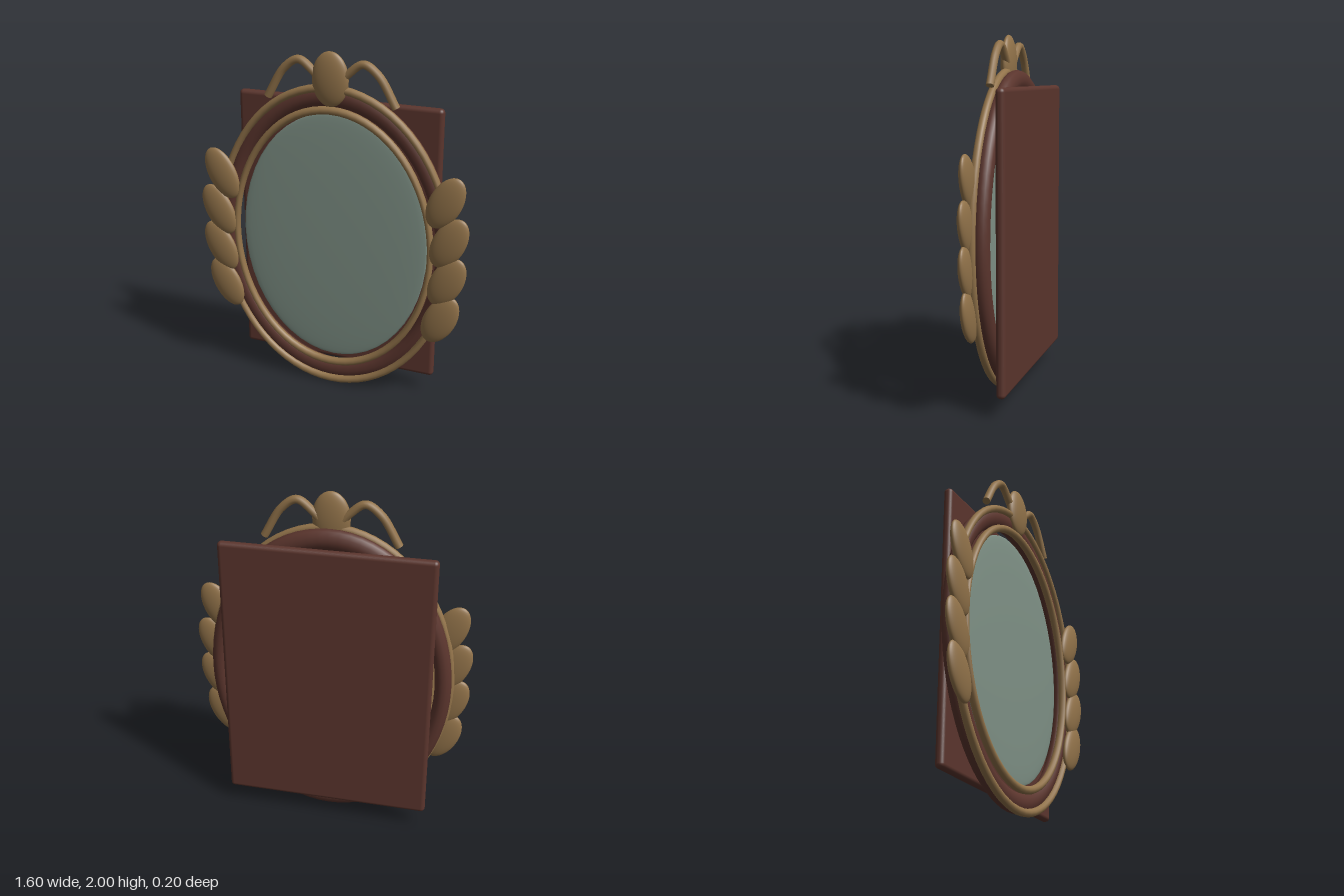
import * as THREE from 'three';
import { RoundedBoxGeometry } from 'three/addons/geometries/RoundedBoxGeometry.js';

const CENTER_Y = 0.913;

function material(name, color) {
  const m = new THREE.MeshStandardMaterial({ color });
  m.name = name;
  return m;
}

export function createModel() {
  const group = new THREE.Group();
  group.name = 'ovalMirror';
  const gold = material('antique gold', 0x92734a);
  const wood = material('dark wood', 0x5b352d);
  const glass = material('mirror glass', 0x7f9186);

  const add = (name, geometry, mat, x, y, z) => {
    const mesh = new THREE.Mesh(geometry, mat);
    mesh.name = name;
    mesh.position.set(x, y, z);
    group.add(mesh);
    return mesh;
  };
  // Torus squeezed into an upright oval
  const ovalRing = (name, mat, radius, tube, z, sx, sz, sides) =>
    add(name, new THREE.TorusGeometry(radius, tube, sides, 72), mat, 0, CENTER_Y, z).scale.set(sx, 1, sz);
  const ellipsoid = (name, mat, x, y, z, a, b, c) => {
    const mesh = add(name, new THREE.SphereGeometry(1, 32, 24), mat, x, y, z);
    mesh.scale.set(a, b, c);
    return mesh;
  };

  // Backing board
  add('backBoard', new RoundedBoxGeometry(1.2, 1.61, 0.052, 4, 0.024), wood, 0, 0.913, -0.08);

  // Frame, beads and slightly domed glass
  ovalRing('woodFrame', wood, 0.835, 0.06, 0, 0.78, 0.76, 12);
  ovalRing('outerBead', gold, 0.888, 0.023, 0.04, 0.78, 1, 12);
  ovalRing('innerBead', gold, 0.767, 0.023, 0.047, 0.765, 1, 12);
  ellipsoid('mirrorGlass', glass, 0, CENTER_Y, 0.005, 0.558, 0.74, 0.02);

  // Crest medallion
  ellipsoid('crestMedallion', gold, 0, 1.85, 0.046, 0.105, 0.15, 0.037);

  // Curling sprigs and side leaves, mirrored
  const leaves = [[0.664, 1.247], [0.693, 1.02], [0.69, 0.79], [0.662, 0.557]];
  for (const side of [-1, 1]) {
    const label = side > 0 ? 'left' : 'right';
    const path = new THREE.CatmullRomCurve3(
      [[0.04, 1.82], [0.1, 1.885], [0.185, 1.943], [0.27, 1.89], [0.37, 1.725]]
        .map(([x, y]) => new THREE.Vector3(side * x, y, 0)));
    add(label + 'CrestSprig', new THREE.TubeGeometry(path, 32, 0.023, 10), gold, 0, 0, 0.04);
    // End cap of the sprig
    const cap = add(label + 'SprigEnd', new THREE.CircleGeometry(0.023, 10), gold, side * 0.37, 1.725, 0.04);
    cap.quaternion.setFromUnitVectors(new THREE.Vector3(0, 0, 1), path.getTangent(1));
    leaves.forEach(([x, y], i) => {
      const leaf = ellipsoid(label + 'Leaf' + (i + 1), gold, side * x, y, 0.065, 0.09, 0.16, 0.033);
      leaf.rotation.z = -side * 0.47;
    });
  }
  return group;
}
